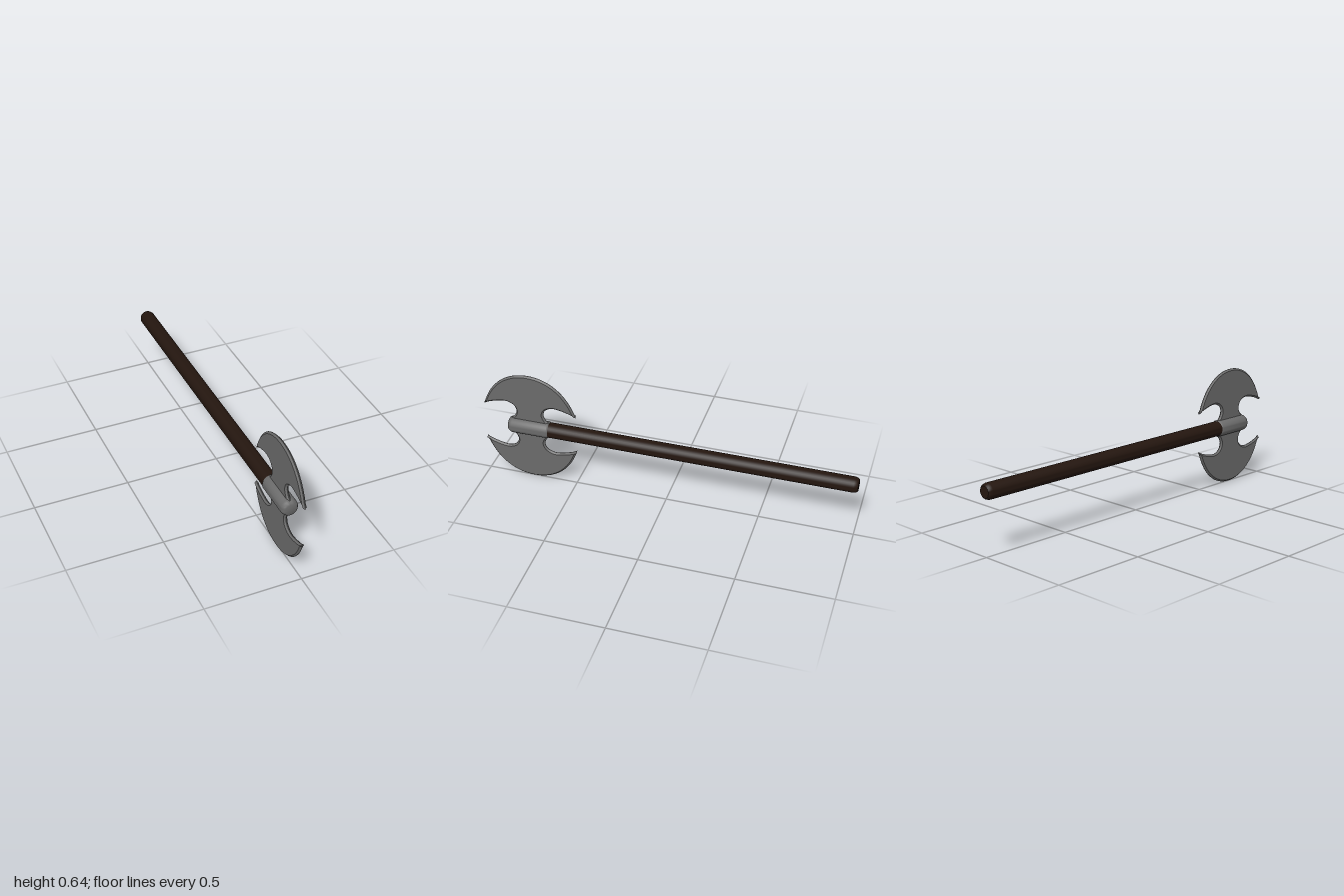
import * as THREE from 'three';
import { toCreasedNormals } from 'three/addons/utils/BufferGeometryUtils.js';

const AXIS_Y = 0.32; // height of the shaft
const BLADE_Z = 0.745; // centre of the axe head along the shaft

const metal = new THREE.MeshStandardMaterial({ color: 0x6b6b6b });
const wood = new THREE.MeshStandardMaterial({ color: 0x24160f });
const v2 = (x, y) => new THREE.Vector2(x, y);

// Turned part lying along z; profile is [radius, z] from back to front
function turned(name, profile, material) {
  const geometry = new THREE.LatheGeometry(profile.map(([r, z]) => v2(r, z)), 32);
  geometry.rotateX(Math.PI / 2);
  const mesh = new THREE.Mesh(toCreasedNormals(geometry, 0.6), material);
  mesh.name = name;
  mesh.position.y = AXIS_Y;
  return mesh;
}

// One quarter of the head outline: crown to horn tip, then in round the notch to the neck
function quarterOutline() {
  const edge = new THREE.CubicBezierCurve(v2(0, 0.32), v2(0.12, 0.32), v2(0.215, 0.24), v2(0.255, 0.105));
  const notch = new THREE.SplineCurve([
    v2(0.255, 0.105), v2(0.225, 0.12), v2(0.17, 0.136), v2(0.125, 0.14), v2(0.088, 0.122),
    v2(0.075, 0.09), v2(0.088, 0.058), v2(0.108, 0.042),
  ]);
  return [...edge.getPoints(18), ...notch.getPoints(28).slice(1)];
}

// Double-bitted head with bevelled edges
function createBlade() {
  const q = quarterOutline();
  const mirrored = (sx, sy) => q.map((p) => v2(p.x * sx, p.y * sy));
  const outline = [
    ...q,
    ...mirrored(1, -1).reverse(),
    ...mirrored(-1, -1).slice(1),
    ...mirrored(-1, 1).reverse().slice(0, -1),
  ];
  const depth = 0.002, bevel = 0.009;
  const geometry = new THREE.ExtrudeGeometry(new THREE.Shape(outline), {
    depth, bevelEnabled: true, bevelThickness: bevel, bevelSize: bevel, bevelOffset: -bevel, bevelSegments: 1,
  });
  geometry.translate(0, 0, -depth / 2);
  geometry.rotateY(-Math.PI / 2);
  const mesh = new THREE.Mesh(toCreasedNormals(geometry, 0.5), metal);
  mesh.name = 'blade';
  mesh.position.set(0, AXIS_Y, BLADE_Z);
  return mesh;
}

export function createModel() {
  const group = new THREE.Group();
  group.name = 'battleAxe';

  // Wooden shaft with a softened butt
  group.add(turned('handle', [
    [0, -1], [0.03, -1], [0.037, -0.993], [0.041, -0.978], [0.041, 0.65], [0, 0.65],
  ], wood));

  // Metal sleeve holding the head
  group.add(turned('socket', [
    [0, 0.64], [0.041, 0.64], [0.045, 0.646], [0.045, 0.84], [0.042, 0.852],
    [0.036, 0.861], [0.028, 0.865], [0, 0.865],
  ], metal));

  group.add(createBlade());
  return group;
}
